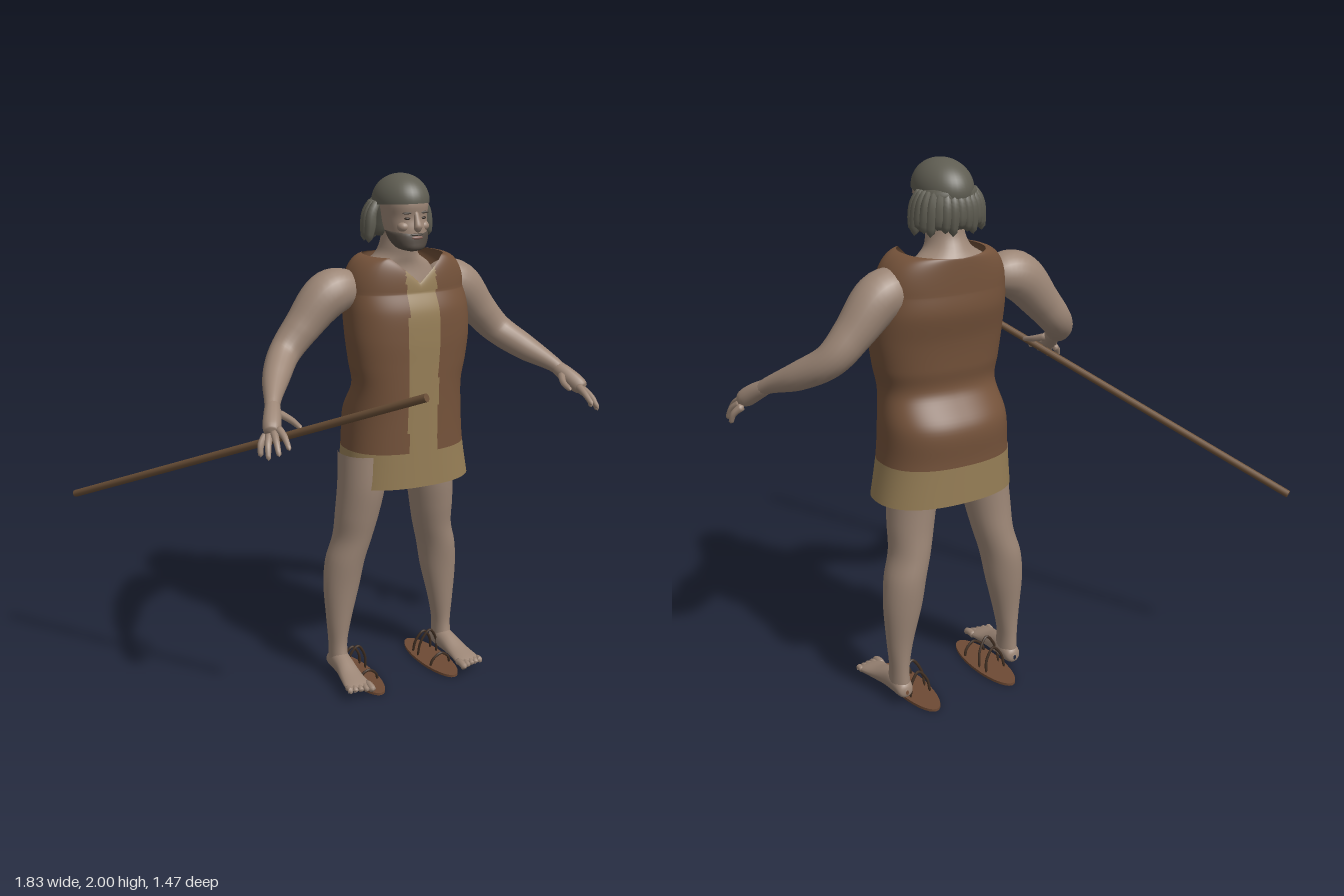
import * as THREE from 'three';

const CX = 0.205; // the body's own mirror line
const mat = (name, color, side = THREE.FrontSide) =>
  Object.assign(new THREE.MeshStandardMaterial({ color, side }), { name });

// Closed tube of quads from a rule f(angle, v) -> [x, y, z]; pick() chooses a material slot
function grid(f, nu, nv, flip, pick) {
  const pos = [], lists = [[], []];
  for (let j = 0; j <= nv; j++)
    for (let i = 0; i < nu; i++) pos.push(...f((i / nu) * Math.PI * 2, j / nv));
  for (let j = 0; j < nv; j++)
    for (let i = 0; i < nu; i++) {
      const k = (i + 1) % nu, a = j * nu + i, b = j * nu + k, c = a + nu, d = b + nu;
      const mid = [0, 1, 2].map((n) => (pos[a * 3 + n] + pos[b * 3 + n] + pos[c * 3 + n] + pos[d * 3 + n]) / 4);
      lists[pick ? pick(mid) : 0].push(...(flip ? [a, b, c, b, d, c] : [a, c, b, b, c, d]));
    }
  const g = new THREE.BufferGeometry();
  g.setAttribute('position', new THREE.Float32BufferAttribute(pos, 3));
  g.setIndex([...lists[0], ...lists[1]]);
  if (pick) {
    g.addGroup(0, lists[0].length, 0);
    g.addGroup(lists[0].length, lists[1].length, 1);
  }
  g.computeVertexNormals();
  return g;
}

// Smooth interpolation through rows of numbers
function sample(rows, v) {
  const n = rows.length - 1, s = Math.min(v * n, n - 1e-6), i = Math.floor(s), t = s - i;
  const at = (k) => rows[Math.max(0, Math.min(n, k))];
  return rows[0].map((_, c) => {
    const p0 = at(i - 1)[c], p1 = at(i)[c], p2 = at(i + 1)[c], p3 = at(i + 2)[c];
    const m1 = (p2 - p0) / 2, m2 = (p3 - p1) / 2, t2 = t * t, t3 = t2 * t;
    return p1 * (2 * t3 - 3 * t2 + 1) + m1 * (t3 - 2 * t2 + t) + p2 * (3 * t2 - 2 * t3) + m2 * (t3 - t2);
  });
}
const sp = (x, p) => Math.sign(x) * Math.abs(x) ** p;
// Ring rows are [y, centre x, centre z, half width, half depth]
const ringPoint = (rows, a, v, p = 1) => {
  const [y, cx, cz, hx, hz] = sample(rows, v);
  return [cx + hx * sp(Math.cos(a), p), y, cz + hz * sp(Math.sin(a), p)];
};
const loft = (rows, nu = 28, nv = 40, p = 1) => grid((a, v) => ringPoint(rows, a, v, p), nu, nv);

// Round-ended limb through points [x, y, z, radius]
function limb(pts, nu = 10, nv = 16) {
  const curve = new THREE.CatmullRomCurve3(pts.map((p) => new THREE.Vector3(p[0], p[1], p[2])));
  const fr = curve.computeFrenetFrames(nv, false);
  const radii = pts.map((p) => [p[3]]);
  return grid((a, v) => {
    const j = Math.round(v * nv);
    const r = sample(radii, v)[0] * Math.sqrt(Math.max(0, 1 - Math.abs(2 * v - 1) ** 14));
    return curve.getPoint(v).addScaledVector(fr.normals[j], r * Math.cos(a))
      .addScaledVector(fr.binormals[j], r * Math.sin(a)).toArray();
  }, nu, nv, true);
}

export function createModel() {
  const root = new THREE.Group();
  root.name = 'tunicFigure';
  const skin = mat('skin', 0x9c8676), hair = mat('hair', 0x5f5d52), beardMat = mat('beard', 0x544b43);
  const brown = mat('brownCloth', 0x74523a, THREE.DoubleSide), tan = mat('tanCloth', 0x967e56, THREE.DoubleSide);
  const wood = mat('wood', 0x6b5038), sole = mat('soleLeather', 0x6e4a34), strap = mat('strapLeather', 0x3f2e22);
  const eyeMat = mat('eye', 0x3a3029), lipMat = mat('lips', 0x86645a);
  const add = (name, geo, m, parent = root) => {
    const mesh = new THREE.Mesh(geo, m);
    mesh.name = name;
    parent.add(mesh);
    return mesh;
  };
  const blob = (name, m, x, y, z, rx, ry, rz) => {
    const b = add(name, new THREE.SphereGeometry(1, 20, 14), m);
    b.position.set(x, y, z);
    b.scale.set(rx, ry, rz);
    return b;
  };

  // Tunic: body rings, then a shoulder cap curving in to the V-shaped neck opening
  const body = [[0.82, 0.25, -0.128, 0.265, 0.178], [0.97, 0.243, -0.128, 0.245, 0.178],
    [1.1, 0.243, -0.128, 0.235, 0.178], [1.21, 0.243, -0.093, 0.221, 0.143], [1.3, 0.246, -0.095, 0.237, 0.145],
    [1.4, 0.247, -0.1, 0.25, 0.15], [1.5, 0.245, -0.113, 0.25, 0.157], [1.57, 0.24, -0.123, 0.242, 0.144]];
  const tunicPoint = (a, v) => {
    if (v <= 0.8) return ringPoint(body, a, v / 0.8, 0.85);
    const t = ((v - 0.8) / 0.2) * Math.PI / 2, base = ringPoint(body, a, 1, 0.85);
    const dx = 0.15 * sp(Math.cos(a), 0.85), front = Math.sin(a) > 0;
    const y = front ? 1.605 + 0.095 * Math.min(1, Math.abs(dx) / 0.11) : 1.69 + 0.01 * Math.abs(dx) / 0.15;
    const rim = [0.237 + dx, y, -0.125 + 0.138 * sp(Math.sin(a), 0.85)];
    const k = 1 - Math.cos(t), up = Math.sin(t);
    return [base[0] + (rim[0] - base[0]) * k, base[1] + (rim[1] - base[1]) * up, base[2] + (rim[2] - base[2]) * k];
  };
  const isTan = ([x, y, z]) => (y < 0.965 || (z > -0.06 && x > 0.178 && x < 0.305) ? 1 : 0);
  add('tunic', grid(tunicPoint, 160, 75, false, isTan), [brown, tan]);

  // Torso and neck under the cloth
  add('torsoAndNeck', loft([[0.8, CX, -0.12, 0.02, 0.03], [0.86, CX, -0.12, 0.15, 0.1], [1.0, CX, -0.12, 0.19, 0.12],
    [1.2, CX, -0.1, 0.17, 0.11], [1.45, CX, -0.12, 0.2, 0.12], [1.58, CX, -0.13, 0.18, 0.105],
    [1.655, CX, -0.13, 0.145, 0.09], [1.7, CX, -0.115, 0.085, 0.082], [1.75, CX, -0.1, 0.066, 0.075],
    [1.82, CX, -0.1, 0.06, 0.07]]), skin);

  // Head
  add('head', loft([[1.728, CX, 0, 0.005, 0.005], [1.74, CX, -0.01, 0.045, 0.05], [1.77, CX, -0.03, 0.065, 0.074],
    [1.81, CX, -0.05, 0.074, 0.094], [1.85, CX, -0.065, 0.08, 0.102], [1.9, CX, -0.07, 0.086, 0.112],
    [1.95, CX, -0.075, 0.075, 0.095], [1.985, CX, -0.08, 0.01, 0.01]], 32, 36, 0.9), skin);
  add('beard', loft([[1.724, CX, 0.005, 0.003, 0.003], [1.735, CX, -0.005, 0.045, 0.052],
    [1.76, CX, -0.02, 0.066, 0.07], [1.79, CX, -0.035, 0.0745, 0.081], [1.8, CX, -0.045, 0.07, 0.08]], 32, 16, 0.9), beardMat);
  blob('mouth', lipMat, CX, 1.779, 0.044, 0.024, 0.007, 0.009);
  blob('moustache', beardMat, CX, 1.79, 0.042, 0.028, 0.005, 0.008);
  add('nose', limb([[CX, 1.875, 0.03, 0.009], [CX, 1.845, 0.042, 0.011], [CX, 1.815, 0.05, 0.016], [CX, 1.806, 0.042, 0.012]]), skin);
  for (const s of [-1, 1]) {
    blob('eye', eyeMat, CX + s * 0.033, 1.848, 0.028, 0.012, 0.005, 0.009);
    blob('brow', beardMat, CX + s * 0.034, 1.868, 0.031, 0.021, 0.0045, 0.008);
    blob('cheek', skin, CX + s * 0.04, 1.817, 0.012, 0.024, 0.02, 0.024);
  }

  // Hair: smooth crown, a filled back, and hanging locks round the sides and back
  const crown = add('hairCrown', new THREE.SphereGeometry(1, 36, 16, 0, Math.PI * 2, 0, Math.PI * 0.53), hair);
  crown.position.set(CX, 1.9, -0.085);
  crown.scale.set(0.1, 0.1, 0.131);
  crown.rotation.x = -0.08;
  add('hairBack', loft([[1.765, CX, -0.14, 0.01, 0.01], [1.775, CX, -0.14, 0.085, 0.055],
    [1.83, CX, -0.135, 0.1, 0.072], [1.9, CX, -0.13, 0.098, 0.08], [1.92, CX, -0.13, 0.05, 0.05]], 24, 16), hair);
  for (let i = 0; i < 17; i++) {
    const f = ((i / 16) * 2 - 1) * 1.75, x = Math.sin(f), z = -Math.cos(f), low = 1.75 + 0.012 * (i % 3);
    const p = (k, y, r) => [CX + x * 0.1 * k, y, -0.11 + z * 0.085 * Math.min(k, 1.08), r];
    add('hairLock', limb([p(0.88, 1.905, 0.016), p(1.15, 1.86, 0.02), p(1.22, 1.81, 0.022), p(1.3, low, 0.013)], 7, 12), hair);
  }

  for (const s of [-1, 1]) {
    const side = new THREE.Group();
    side.name = s > 0 ? 'leftLimbs' : 'rightLimbs';
    root.add(side);
    const pts = (list) => list.map(([d, y, z, r]) => [CX + s * d, y, z, r]);

    // Arm and palm
    add('arm', limb(pts([[0.14, 1.58, -0.135, 0.07], [0.27, 1.567, -0.135, 0.088], [0.385, 1.45, -0.135, 0.07],
      [0.46, 1.37, -0.12, 0.06], [0.54, 1.3, -0.025, 0.05], [0.605, 1.245, 0.09, 0.029], [0.63, 1.21, 0.14, 0.028]]), 20, 48), skin, side);
    add('palm', limb(pts([[0.6, 1.25, 0.08, 0.026], [0.628, 1.213, 0.14, 0.032], [0.648, 1.185, 0.18, 0.033],
      [0.66, 1.168, 0.205, 0.026]]), 14, 16), skin, side);

    // Thumb and fingers: base, middle, tip
    const digits = [[[0.605, 1.22, 0.13], [0.575, 1.2, 0.19], [0.567, 1.185, 0.25]],
      [[0.635, 1.185, 0.2], [0.632, 1.165, 0.25], [0.635, 1.13, 0.3]],
      [[0.65, 1.175, 0.2], [0.662, 1.15, 0.25], [0.67, 1.11, 0.29]],
      [[0.662, 1.165, 0.19], [0.685, 1.135, 0.23], [0.695, 1.09, 0.255]],
      [[0.665, 1.16, 0.17], [0.695, 1.13, 0.19], [0.703, 1.09, 0.205]]];
    for (const d of digits) add('finger', limb(pts(d.map((q, i) => [...q, 0.015 - i * 0.003])), 8, 12), skin, side);

    // Leg
    const leg = [[0.08, 0.24, -0.135, 0.036, 0.055], [0.15, 0.24, -0.14, 0.036, 0.047], [0.25, 0.235, -0.14, 0.05, 0.053],
      [0.39, 0.222, -0.142, 0.072, 0.07], [0.5, 0.207, -0.138, 0.077, 0.083], [0.6, 0.18, -0.127, 0.076, 0.088],
      [0.7, 0.166, -0.113, 0.085, 0.094], [0.82, 0.152, -0.103, 0.092, 0.102], [0.95, 0.145, -0.105, 0.095, 0.105]];
    add('leg', loft(leg.map(([y, d, ...r]) => [y, CX + s * d, ...r]), 24, 48), skin, side);

    // Foot, lofted from heel to ball, and toes
    const foot = [[-0.198, 0.24, 0.055, 0.006, 0.01], [-0.185, 0.24, 0.06, 0.03, 0.03], [-0.13, 0.24, 0.072, 0.038, 0.046],
      [-0.07, 0.243, 0.066, 0.04, 0.04], [0, 0.249, 0.052, 0.046, 0.026], [0.06, 0.252, 0.043, 0.052, 0.017],
      [0.085, 0.252, 0.041, 0.04, 0.01]];
    add('foot', loft(foot.map(([z, d, h, ...r]) => [z, CX + s * d, -h, ...r]), 20, 28).rotateX(Math.PI / 2), skin, side);
    for (let i = 0; i < 5; i++) {
      const d = 0.21 + i * 0.0215, r = i ? 0.011 : 0.014, end = 0.112 - i * 0.007;
      add('toe', limb(pts([[d, 0.042, 0.05, r], [d, 0.044, 0.085, r], [d, 0.036, end, r]]), 8, 10), skin, side);
    }

    // Sandal lying beside the foot: flat sole and arched straps
    const sandal = new THREE.Group();
    sandal.name = 'sandal';
    sandal.position.set(CX + s * 0.168, 0, -0.095);
    side.add(sandal);
    const plate = add('sandalSole', new THREE.CylinderGeometry(1, 1, 0.01, 32), sole, sandal);
    plate.scale.set(0.062, 1, 0.194);
    plate.position.y = 0.005;
    for (const [z, h, w] of [[-0.075, 0.1, 0.042], [-0.03, 0.125, 0.045], [0.075, 0.06, 0.045]]) {
      const arch = [[-w, 0.006], [-w * 0.8, h * 0.6], [0, h], [w * 0.8, h * 0.6], [w, 0.006]];
      add('sandalStrap', limb(arch.map(([x, y]) => [x, y, z + y * 0.15, 0.0055]), 6, 24), strap, sandal);
    }
  }

  // Staff held at the right hand
  const a = new THREE.Vector3(-0.907, 0.737, -0.725), b = new THREE.Vector3(-0.143, 1.383, 0.725);
  const staff = add('staff', new THREE.CylinderGeometry(0.014, 0.014, a.distanceTo(b), 14), wood);
  staff.position.copy(a).add(b).multiplyScalar(0.5);
  staff.quaternion.setFromUnitVectors(new THREE.Vector3(0, 1, 0), b.clone().sub(a).normalize());
  return root;
}
